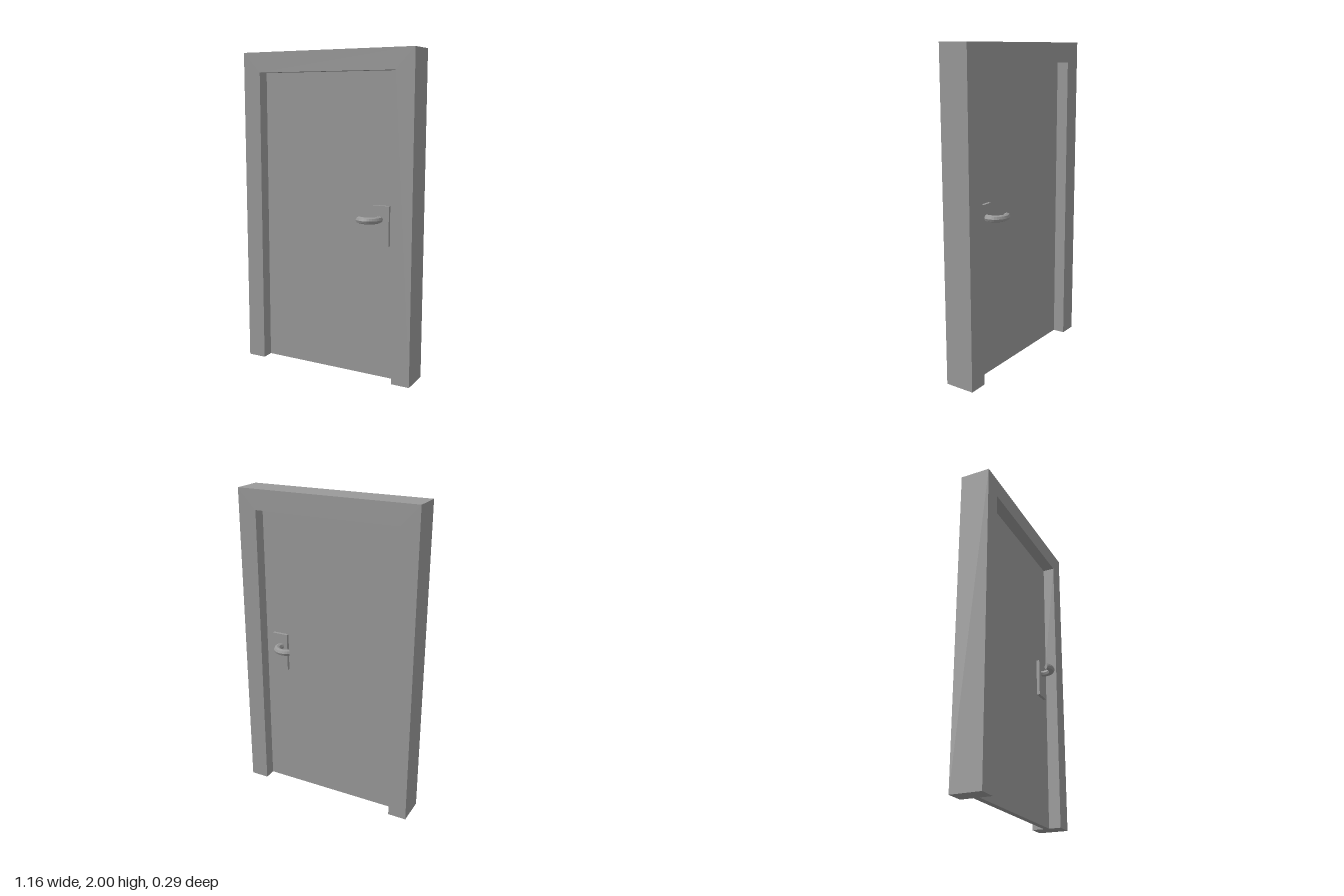
import * as THREE from 'three';

export function createModel() {
  const model = new THREE.Group();
  model.name = 'door';
  const grey = new THREE.MeshStandardMaterial({ color: 0x999999, flatShading: true });
  grey.name = 'plain grey';

  const add = (name, geometry, parent = model) => {
    const mesh = new THREE.Mesh(geometry, grey);
    mesh.name = name;
    parent.add(mesh);
    return mesh;
  };

  const halfWidth = 0.581, halfOpening = 0.463, openingTop = 1.875, depth = 0.19;
  const leafThickness = 0.036;

  // Frame: two jambs and a header in one upside-down U
  const outline = new THREE.Shape([
    [-halfWidth, 0], [-halfOpening, 0], [-halfOpening, openingTop], [halfOpening, openingTop],
    [halfOpening, 0], [halfWidth, 0], [halfWidth, 2], [-halfWidth, 2],
  ].map(([x, y]) => new THREE.Vector2(x, y)));
  const frame = new THREE.ExtrudeGeometry(outline, { depth, bevelEnabled: false });
  add('frame', frame.translate(0, 0, -depth / 2));

  // Door leaf, set in the middle of the frame
  const leaf = new THREE.BoxGeometry(halfOpening * 2, openingTop, leafThickness);
  add('doorLeaf', leaf.translate(0, openingTop / 2, 0));

  // Plate and curved lever on each face
  const ring = 0.065, tube = 0.021, startAngle = -0.86;
  for (const side of [1, -1]) {
    const lockSet = new THREE.Group();
    lockSet.name = side > 0 ? 'frontLockSet' : 'backLockSet';
    model.add(lockSet);

    const plate = new THREE.BoxGeometry(0.106, 0.245, 0.02);
    plate.translate(0.356, 0.96, side * (leafThickness / 2 + 0.01));
    add('plate', plate, lockSet);

    // Half ring lying flat, its root sunk into the leaf
    const lever = new THREE.Group();
    lever.name = 'lever';
    lever.position.set(0.288, 1, side * 0.06);
    lever.rotation.set(side * Math.PI / 2, 0, startAngle);
    lockSet.add(lever);
    add('leverBar', new THREE.TorusGeometry(ring, tube, 8, 16, Math.PI), lever);
    const cap = add('leverEnd', new THREE.CircleGeometry(tube, 8), lever);
    cap.position.x = -ring;
    cap.rotation.x = Math.PI / 2;
  }
  return model;
}
